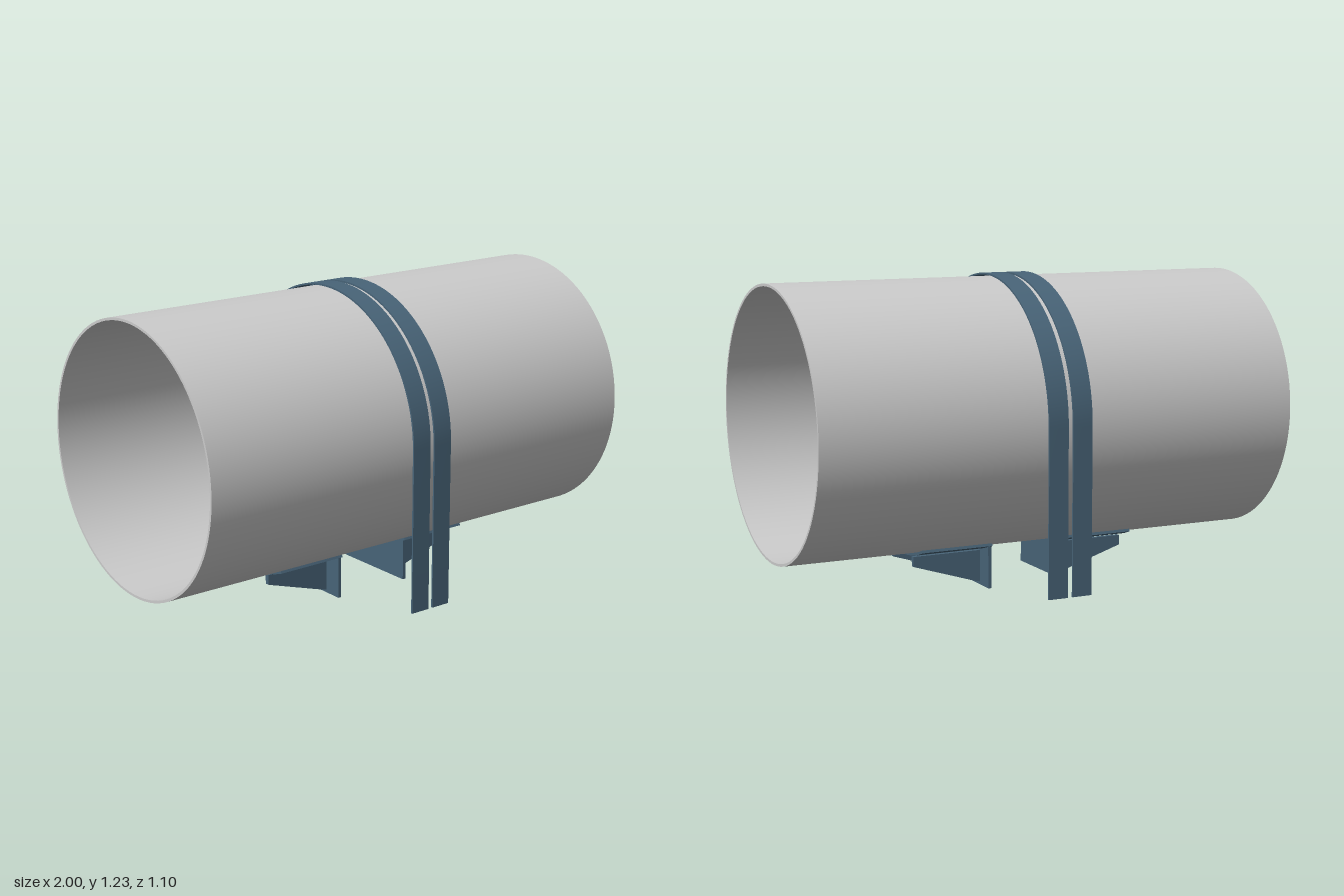
import * as THREE from 'three';
import { toCreasedNormals } from 'three/addons/utils/BufferGeometryUtils.js';

const CY = 0.68;            // pipe axis height
const PIPE_R = 0.535;       // pipe outer radius
const PIPE_IN = 0.525;
const SADDLE_R = 0.546;     // underside of the saddle plates

export function createModel() {
  const grey = new THREE.MeshStandardMaterial({ color: 0xcccccc });
  const blue = new THREE.MeshStandardMaterial({ color: 0x486478 });
  const group = new THREE.Group();

  // Extrude a (z, y) profile along x, from x0 to x1
  function alongX(name, shape, x0, x1, material, parent, curveSegments = 24) {
    let geo = new THREE.ExtrudeGeometry(shape, { depth: x1 - x0, bevelEnabled: false, curveSegments });
    geo = toCreasedNormals(geo, 0.5);
    geo.rotateY(Math.PI / 2);
    geo.translate(x0, 0, 0);
    const mesh = new THREE.Mesh(geo, material);
    mesh.name = name;
    parent.add(mesh);
    return mesh;
  }

  // Thin-walled pipe
  const ring = new THREE.Shape().absarc(0, CY, PIPE_R, 0, Math.PI * 2, false);
  ring.holes.push(new THREE.Path().absarc(0, CY, PIPE_IN, 0, Math.PI * 2, true));
  alongX('pipe', ring, -1, 1, grey, group, 48);

  // Two U-shaped straps over the pipe with straight hanging legs
  const rOut = 0.548, rIn = 0.541, legY = 0.025;
  const strap = new THREE.Shape();
  strap.moveTo(rOut, legY);
  strap.lineTo(rOut, CY);
  strap.absarc(0, CY, rOut, 0, Math.PI, false);
  strap.lineTo(-rOut, legY);
  strap.lineTo(-rIn, legY);
  strap.lineTo(-rIn, CY);
  strap.absarc(0, CY, rIn, Math.PI, 0, true);
  strap.lineTo(rIn, legY);
  strap.closePath();
  alongX('strapLeft', strap, 0.01, 0.092, blue, group, 32);
  alongX('strapRight', strap, -0.092, -0.01, blue, group, 32);

  // Curved saddle plate profile
  const down = -Math.PI / 2, half = 0.375;
  const saddle = new THREE.Shape();
  saddle.absarc(0, CY, SADDLE_R, down - half, down + half, false);
  saddle.absarc(0, CY, PIPE_R, down + half, down - half, true);
  saddle.closePath();

  // Upright plate with its top cut to the saddle curve
  const w = 0.19, a = Math.asin(w / SADDLE_R);
  const plate = new THREE.Shape();
  plate.moveTo(-w, 0);
  plate.lineTo(w, 0);
  plate.absarc(0, CY, SADDLE_R, down + a, down - a, true);
  plate.closePath();

  // Tapered rib, drawn in (x, y)
  const rib = new THREE.Shape([
    [0.172, 0.012], [0.2, 0.018], [0.46, 0.1], [0.46, 0.14], [0.172, 0.14],
  ].map(([x, y]) => new THREE.Vector2(x, y)));

  // One support foot on each side, turned half round to mirror it
  for (const side of ['Left', 'Right']) {
    const foot = new THREE.Group();
    foot.name = 'support' + side;
    alongX('saddlePlate', saddle, 0.16, 0.46, blue, foot);
    alongX('endPlate', plate, 0.16, 0.174, blue, foot);
    for (const z of [-0.104, 0.104]) {
      const geo = new THREE.ExtrudeGeometry(rib, { depth: 0.018, bevelEnabled: false });
      geo.translate(0, 0, z - 0.009);
      const mesh = new THREE.Mesh(geo, blue);
      mesh.name = z > 0 ? 'frontRib' : 'backRib';
      foot.add(mesh);
    }
    if (side === 'Right') foot.rotation.y = Math.PI;
    group.add(foot);
  }
  return group;
}
